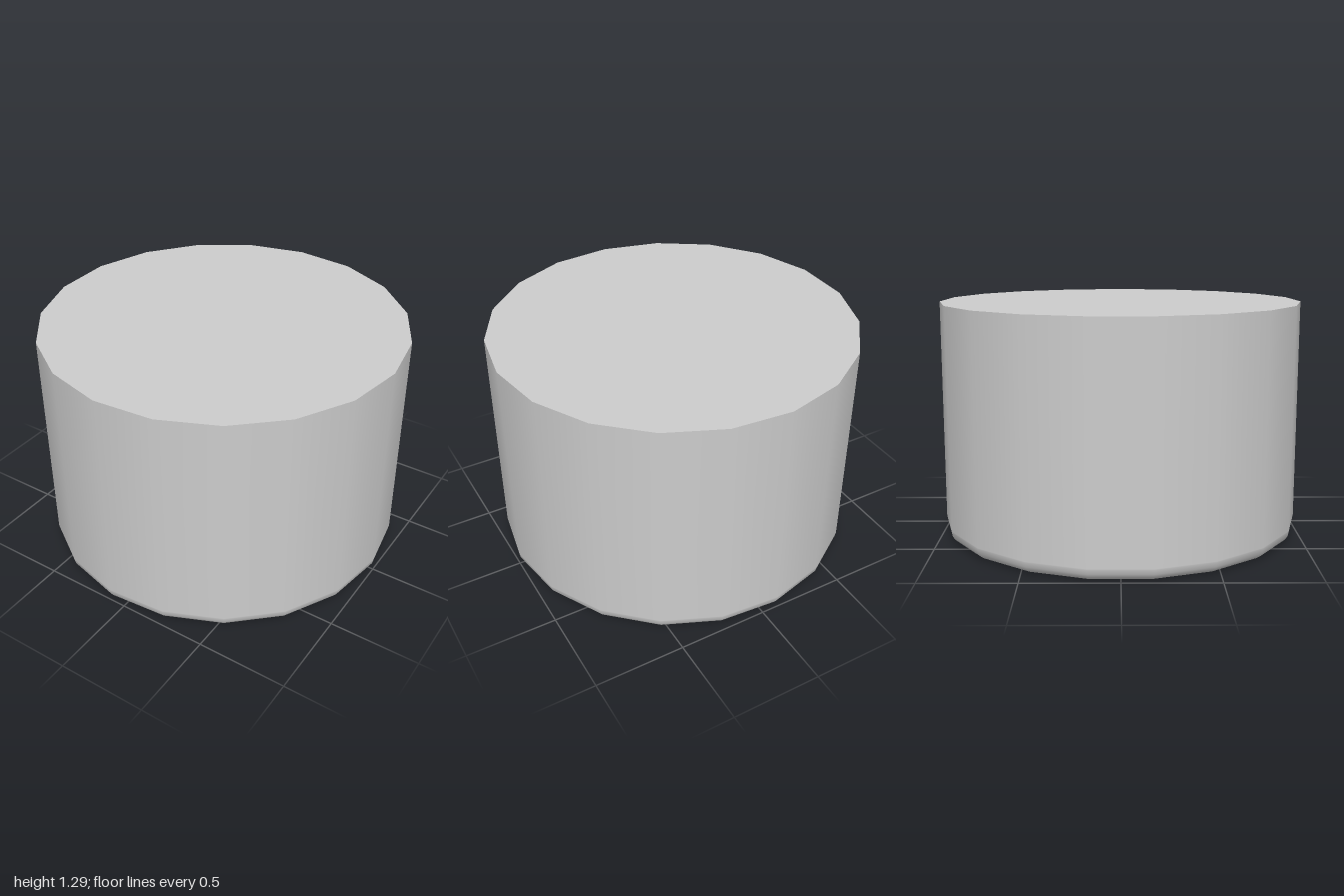
import * as THREE from 'three';

const SIDES = 19, R = 1.003, HEIGHT = 1.295, FILLET = 0.065;
const CELL = 0.272, POCKET = 0.26, DEPTH = 0.067;
const SHIFT_X = -0.007;

export function createModel() {
  const model = new THREE.Group();
  const material = new THREE.MeshStandardMaterial({ color: 0xcccccc });
  const add = (name, geometry) => {
    const mesh = new THREE.Mesh(geometry, material);
    mesh.name = name;
    model.add(mesh);
    return mesh;
  };

  // Side wall with a rounded bottom edge
  const profile = [];
  for (let i = 0; i <= 4; i++) {
    const a = (i / 4) * Math.PI / 2;
    profile.push(new THREE.Vector2(R - FILLET + FILLET * Math.sin(a), FILLET - FILLET * Math.cos(a)));
  }
  profile.push(new THREE.Vector2(R, FILLET + 0.005), new THREE.Vector2(R, HEIGHT));
  add('sideWall', new THREE.LatheGeometry(profile, SIDES, Math.PI / 2)).position.x = SHIFT_X;

  // Flat top
  const top = add('topFace', new THREE.CircleGeometry(R, SIDES).rotateX(-Math.PI / 2));
  top.position.set(SHIFT_X, HEIGHT, 0);

  // Checkerboard of pockets: four rows from back to front
  const centres = [];
  [[0], [-1, 1], [-2, 0, 2], [-1, 1]].forEach((row, r) => {
    for (const c of row) centres.push([c * CELL, (r - 1.5) * CELL]);
  });

  // Underside with square openings
  const disc = [];
  for (let k = 0; k < SIDES; k++) {
    const a = (k / SIDES) * Math.PI * 2;
    disc.push(new THREE.Vector2((R - FILLET) * Math.cos(a), (R - FILLET) * Math.sin(a)));
  }
  const underside = new THREE.Shape(disc);
  const h = POCKET / 2;
  for (const [x, z] of centres) {
    underside.holes.push(new THREE.Path([[-h, -h], [-h, h], [h, h], [h, -h]]
      .map(([dx, dz]) => new THREE.Vector2(x + dx, z + dz))));
  }
  add('underside', new THREE.ShapeGeometry(underside).rotateX(Math.PI / 2)).position.x = SHIFT_X;

  // Pocket interiors: boxes without their lower face, turned inside out
  const pocket = new THREE.BoxGeometry(POCKET, DEPTH, POCKET);
  const faces = Array.from(pocket.index.array).filter((_, i) => i < 18 || i >= 24);
  pocket.setIndex(faces.reverse());
  pocket.clearGroups();
  pocket.computeVertexNormals();
  for (const [x, z] of centres) add('pocket', pocket).position.set(x + SHIFT_X, DEPTH / 2, z);

  return model;
}
